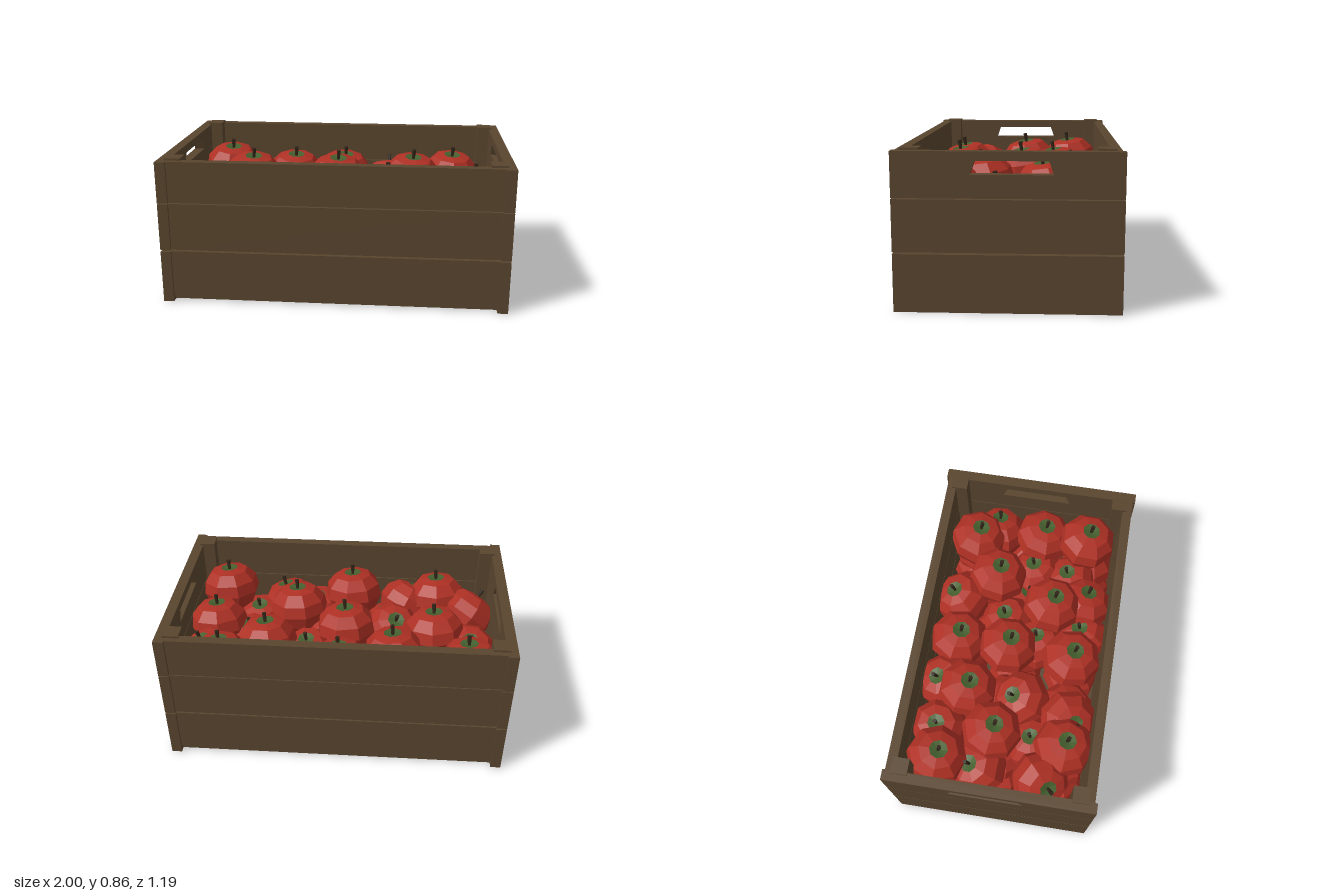
import * as THREE from 'three';

export function createModel() {
  const model = new THREE.Group();
  const mat = (name, color) => {
    const m = new THREE.MeshStandardMaterial({ color });
    m.name = name;
    return m;
  };
  const wood = mat('brown wood', 0x59452e);
  const red = mat('apple red', 0xae3024);
  const green = mat('calyx green', 0x45602f);
  const dark = mat('stem brown', 0x33261a);

  const box = (name, x0, x1, y0, y1, z0, z1) => {
    const mesh = new THREE.Mesh(new THREE.BoxGeometry(x1 - x0, y1 - y0, z1 - z0), wood);
    mesh.position.set((x0 + x1) / 2, (y0 + y1) / 2, (z0 + z1) / 2);
    mesh.name = name;
    model.add(mesh);
  };

  // Top end plank with a trapezoid hand hole, drawn in the z/y plane
  const plank = new THREE.Shape();
  plank.moveTo(-0.595, 0.603).lineTo(0.595, 0.603).lineTo(0.595, 0.843).lineTo(-0.595, 0.843);
  const hole = new THREE.Path();
  hole.moveTo(-0.19, 0.725).lineTo(-0.165, 0.795).lineTo(0.21, 0.795).lineTo(0.235, 0.725);
  plank.holes.push(hole);
  const handleGeo = new THREE.ExtrudeGeometry(plank, { depth: 0.06, bevelEnabled: false });
  handleGeo.rotateY(Math.PI / 2); // shape x becomes -z, depth becomes +x

  // Ends, long sides and corner posts
  for (const s of [-1, 1]) {
    const span = (a, b) => (s > 0 ? [a, b] : [-b, -a]);
    const end = span(0.94, 1);
    box('endPlank', ...end, 0, 0.31, -0.595, 0.595);
    box('endPlank', ...end, 0.32, 0.597, -0.595, 0.595);
    const handle = new THREE.Mesh(handleGeo, wood);
    handle.position.x = end[0];
    handle.name = 'handlePlank';
    model.add(handle);

    const side = span(0.525, 0.58);
    box('sidePlank', -0.94, 0.94, 0.04, 0.31, ...side);
    box('sidePlank', -0.94, 0.94, 0.32, 0.597, ...side);
    box('sidePlank', -0.94, 0.94, 0.603, 0.843, ...side);

    box('cornerPost', ...span(0.865, 0.957), 0.04, 0.855, 0.455, 0.55);
    box('cornerPost', ...span(0.865, 0.957), 0.04, 0.855, -0.55, -0.455);
  }

  // Floor boards
  const boardWidth = 1.14 / 5;
  for (let i = 0; i < 5; i++) {
    const z = -0.57 + i * boardWidth;
    box('floorBoard', -0.94, 0.94, 0.01, 0.04, z + 0.003, z + boardWidth - 0.003);
  }

  // Faceted apple pieces of unit radius
  const lathe = (pts) => {
    const g = new THREE.LatheGeometry(pts.map(([x, y]) => new THREE.Vector2(x, y)), 8).toNonIndexed();
    g.computeVertexNormals();
    return g;
  };
  const skinGeo = lathe([[0, -0.68], [0.4, -0.8], [0.78, -0.5], [1, 0], [0.93, 0.4], [0.64, 0.73], [0.3, 0.81]]);
  const calyxGeo = lathe([[0.3, 0.81], [0, 0.74]]);
  const stemGeo = new THREE.CylinderGeometry(0.075, 0.05, 0.36, 5);
  stemGeo.translate(0, 0.9, 0);

  const up = new THREE.Vector3(0, 1, 0);
  let count = 0;
  // Apple at (x, z) with its calyx at height topY, shifted sideways by (dx, dz)
  const addApple = (x, z, topY, r, dx, dz) => {
    const apple = new THREE.Group();
    apple.name = 'apple';
    const addPart = (name, geo, material) => {
      const mesh = new THREE.Mesh(geo, material);
      mesh.name = name;
      apple.add(mesh);
    };
    addPart('skin', skinGeo, red);
    addPart('calyx', calyxGeo, green);
    addPart('stem', stemGeo, dark);
    const reach = 0.78 * r;
    const dir = new THREE.Vector3(dx, Math.sqrt(reach * reach - dx * dx - dz * dz), dz).normalize();
    apple.position.set(x, topY - reach * dir.y, z);
    apple.quaternion.setFromUnitVectors(up, dir);
    apple.rotateY(count++ * 0.61);
    apple.scale.setScalar(r);
    model.add(apple);
  };

  // Top of the heap: x, z, height
  const upper = [
    [-0.77, -0.35, 0.72], [-0.015, -0.36, 0.68], [-0.33, -0.25, 0.7], [0.435, -0.19, 0.71],
    [0.69, -0.36, 0.69], [-0.575, -0.06, 0.73], [-0.035, -0.05, 0.73], [0.28, 0.175, 0.715],
    [0.78, 0.05, 0.66], [-0.6, 0.37, 0.7], [-0.06, 0.34, 0.735], [0.745, 0.335, 0.74],
  ];
  for (const [x, z, y] of upper) addApple(x, z, y, 0.182, 0.01, 0.02);

  // Leaning apples between them: x, z and calyx shift
  const leaning = [
    [-0.57, -0.38, -0.01, -0.01], [-0.28, -0.39, -0.015, -0.05], [0.285, -0.39, 0, -0.05],
    [0.79, -0.24, 0.045, 0], [-0.78, -0.1, -0.01, -0.055], [-0.32, 0.09, -0.02, -0.06],
    [-0.79, 0.26, -0.075, 0.06], [-0.4, 0.37, -0.06, 0.05], [0.36, 0.37, 0.035, 0.025],
  ];
  for (const [x, z, dx, dz] of leaning) addApple(x, z, 0.61, 0.176, dx, dz);

  // Deeper apples in the gaps: x, z
  const deep = [[0.2, -0.09], [0.08, 0.13], [0.57, 0.04], [0.54, 0.26], [0.17, 0.39], [-0.57, 0.19]];
  for (const [x, z] of deep) addApple(x, z, 0.54, 0.175, 0.01, -0.02);

  // Two packed layers below
  for (let layer = 0; layer < 2; layer++) {
    for (let i = 0; i < 5; i++) {
      for (let k = -1; k <= 1; k++) {
        const x = -0.68 + i * 0.34 + (layer ? 0.04 : -0.04);
        addApple(x, k * 0.355, 0.33 + layer * 0.13, 0.175, 0.03, 0.015);
      }
    }
  }
  return model;
}
